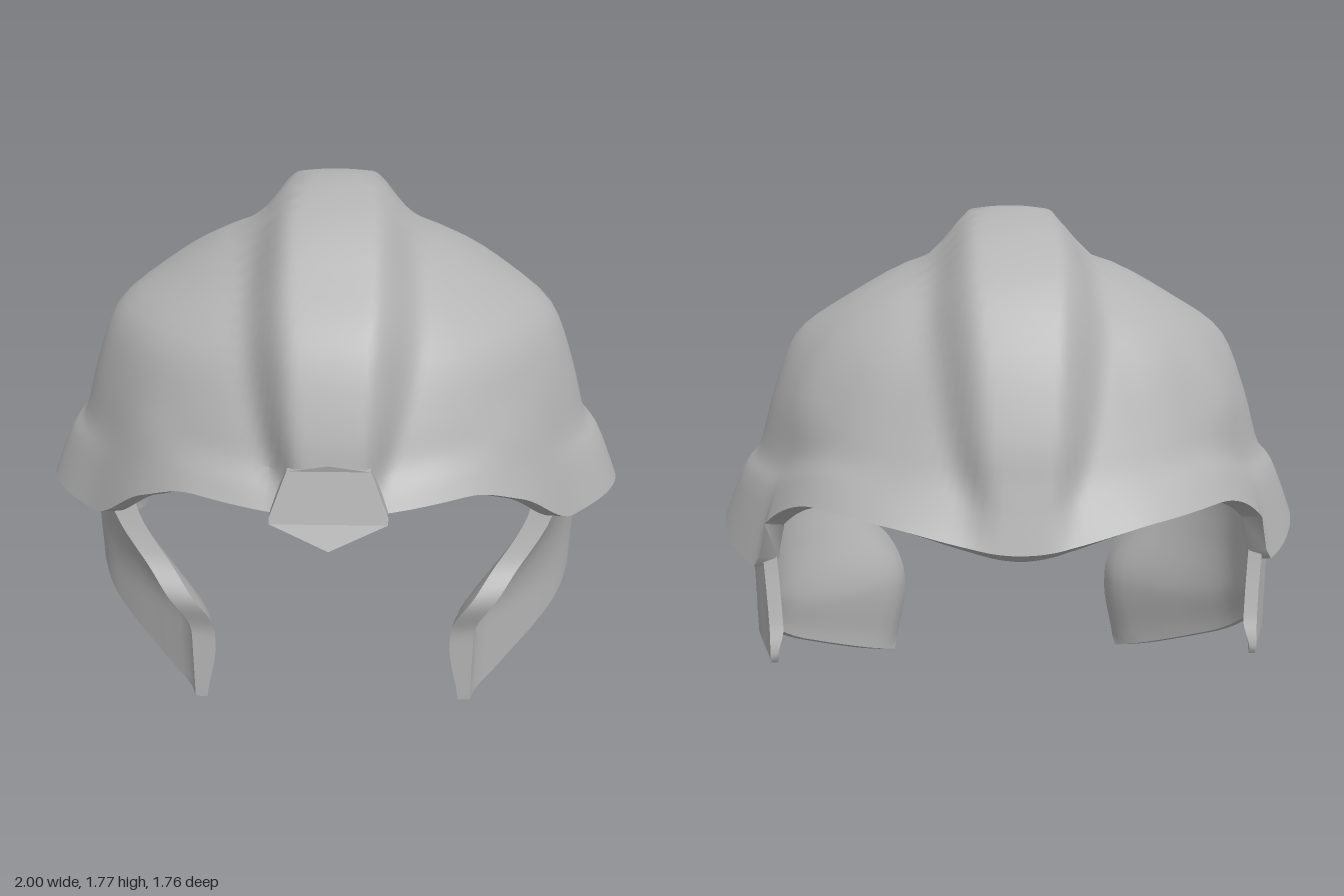
import * as THREE from 'three';
import { toCreasedNormals } from 'three/addons/utils/BufferGeometryUtils.js';

const smooth = THREE.MathUtils.smoothstep;
const lerp = THREE.MathUtils.lerp;

// Smooth curve through keys that never overshoots them.
function curve(xs, ys, x) {
  const n = xs.length;
  let i = 0;
  while (i < n - 2 && x > xs[i + 1]) i++;
  const sec = (k) => (ys[k + 1] - ys[k]) / (xs[k + 1] - xs[k]);
  const slope = (k) => {
    if (k === 0 || k === n - 1) return 0;
    const a = sec(k - 1), b = sec(k);
    return a * b > 0 ? (2 * a * b) / (a + b) : 0;
  };
  const h = xs[i + 1] - xs[i];
  const t = THREE.MathUtils.clamp((x - xs[i]) / h, 0, 1);
  const t2 = t * t, t3 = t2 * t;
  return (2 * t3 - 3 * t2 + 1) * ys[i] + (t3 - 2 * t2 + t) * h * slope(i)
    + (3 * t2 - 2 * t3) * ys[i + 1] + (t3 - t2) * h * slope(i + 1);
}

// Sheet of quads over fn(i, j) -> [x, y, z].
function sheet(nu, nv, fn, crease) {
  const pos = [], index = [];
  for (let i = 0; i <= nu; i++) {
    for (let j = 0; j <= nv; j++) {
      pos.push(...fn(i, j));
      if (i === nu || j === nv) continue;
      const a = i * (nv + 1) + j, b = a + nv + 1;
      index.push(a, a + 1, b, b, a + 1, b + 1);
    }
  }
  const g = new THREE.BufferGeometry();
  g.setAttribute('position', new THREE.Float32BufferAttribute(pos, 3));
  g.setIndex(index);
  return toCreasedNormals(g, crease);
}

// Dome meridians from crown to rim: azimuth from the front in degrees, radii and heights.
const APEX = 1.66;
const AZIMUTH = [0, 30, 45, 65, 90, 115, 118, 137, 153, 180];
const RADII = [
  [0.28, 0.45, 0.58, 0.67, 0.72, 0.77, 0.80],
  [0.28, 0.47, 0.62, 0.70, 0.74, 0.78, 0.81],
  [0.28, 0.50, 0.66, 0.72, 0.76, 0.79, 0.825],
  [0.28, 0.53, 0.69, 0.76, 0.80, 0.83, 0.877],
  [0.28, 0.55, 0.73, 0.81, 0.87, 0.92, 1.00],
  [0.28, 0.55, 0.70, 0.79, 0.83, 0.87, 0.926],
  [0.28, 0.55, 0.70, 0.79, 0.82, 0.86, 0.905],
  [0.28, 0.52, 0.67, 0.76, 0.80, 0.84, 0.885],
  [0.28, 0.50, 0.64, 0.74, 0.79, 0.83, 0.885],
  [0.28, 0.48, 0.62, 0.72, 0.77, 0.82, 0.87],
];
const HEIGHTS = [
  [1.62, 1.50, 1.38, 1.20, 1.08, 1.02, 0.98],
  [1.62, 1.51, 1.37, 1.21, 1.11, 1.05, 1.00],
  [1.62, 1.50, 1.35, 1.21, 1.11, 1.02, 0.93],
  [1.62, 1.49, 1.36, 1.18, 1.02, 0.93, 0.76],
  [1.62, 1.49, 1.36, 1.17, 0.98, 0.92, 0.735],
  [1.62, 1.50, 1.36, 1.18, 1.00, 0.92, 0.66],
  [1.62, 1.50, 1.36, 1.18, 1.02, 0.94, 0.82],
  [1.62, 1.52, 1.37, 1.18, 1.08, 1.02, 0.94],
  [1.62, 1.52, 1.36, 1.16, 1.06, 1.00, 0.93],
  [1.62, 1.52, 1.36, 1.16, 1.04, 0.96, 0.865],
];
const ROWS = [-1, 0, 1, 2, 3, 4, 5, 6, 7];
const CREST = [0.125, 0.125, 0.125, 0.125, 0.125, 0.115, 0.09, 0.05, 0.015];

function makeShell() {
  const segs = 180, rows = 28;
  const columns = [];
  for (let i = 0; i <= segs; i++) {
    const angle = (i / segs) * 360;
    const az = Math.min(angle, 360 - angle);
    const across = (table) => table[0].map((_, k) => curve(AZIMUTH, table.map((m) => m[k]), az));
    const r = across(RADII), y = across(HEIGHTS);
    const a = THREE.MathUtils.degToRad(angle);
    columns.push({ sin: Math.sin(a), cos: Math.cos(a), r: [-r[0], 0, ...r], y: [y[0], APEX, ...y] });
  }
  // Outer surface: dome plus the fore-and-aft crest.
  const outer = (i, j) => {
    const c = columns[i], s = (j / rows) * 7;
    const r = curve(ROWS, c.r, s);
    const x = r * c.sin, y = curve(ROWS, c.y, s), z = r * c.cos;
    const w = 1 - 0.4 * smooth(s, 2, 6), ax = Math.abs(x);
    const amount = curve(ROWS, CREST, s) * (1 - smooth(ax, 0.12 * w, 0.28 * w))
      * (1 - 0.3 * smooth(-z, 0.3, 0.8));
    const up = Math.max(y - 0.95, 0), len = Math.hypot(up, z) || 1;
    return [x, y + (amount * up) / len, z + (amount * z) / len];
  };
  // The columns run down the outside, round the rim and back up the inside.
  return sheet(segs, rows * 2 + 1, (i, j) => {
    if (j <= rows) return outer(i, j);
    const [x, y, z] = outer(i, rows * 2 + 1 - j);
    return [x * 0.93, y - 0.04 + 0.03 * Math.abs(columns[i].sin), z * 0.93];
  }, 0.7);
}

// Plate at the brow with a pointed lower edge, leaning forward at the bottom.
function makeBrow() {
  const shape = new THREE.Shape([
    [-0.12, 1.13], [-0.17, 1.0], [-0.17, 0.98], [0, 0.91], [0.17, 0.98], [0.17, 1.0], [0.12, 1.13], [0, 1.15],
  ].map(([x, y]) => new THREE.Vector2(x, y)));
  const g = new THREE.ExtrudeGeometry(shape, { depth: 0.08, bevelEnabled: false });
  const p = g.attributes.position;
  for (let i = 0; i < p.count; i++) {
    const front = p.getZ(i) > 0.04;
    p.setZ(i, p.getZ(i) + 0.733 + (1.13 - p.getY(i)) * 0.28 - Math.abs(p.getX(i)) * 0.08);
    if (!front) p.setY(i, p.getY(i) - 0.01);
  }
  g.computeVertexNormals();
  return g;
}

// Cheek guard outline: front and back edges run from top to bottom.
const EDGE = [0, 0.14, 0.3, 0.47, 0.66, 0.96, 1];
const FRONT_Z = [0.33, 0.35, 0.39, 0.46, 0.42, 0.42, 0.385];
const FRONT_Y = [0.86, 0.74, 0.59, 0.46, 0.30, 0.04, 0.01];
const BACK_Z = [-0.37, -0.375, -0.385, -0.40, -0.42, -0.45, -0.435];
const BACK_Y = [0.80, 0.73, 0.65, 0.57, 0.48, 0.37, 0.345];

function guardPoint(u, v, inside) {
  const z = lerp(curve(EDGE, FRONT_Z, v), curve(EDGE, BACK_Z, v), u);
  const lift = curve([0, 0.36, 0.66, 0.78, 1], [0, 0.06, 0.14, 0.115, 0], u);
  const y = lerp(curve(EDGE, FRONT_Y, v), curve(EDGE, BACK_Y, v), u) + lift * v * v;
  const f = curve([-0.45, -0.25, -0.1, 0, 0.12, 0.25, 0.38, 0.46],
    [0.80, 0.87, 0.885, 0.85, 0.75, 0.61, 0.49, 0.48], z);
  const spread = 0.6 * smooth(y, 0.3, 0.8) * smooth(z, -0.2, 0.1);
  const x = f + (0.89 - f) * spread;
  return [x - (inside ? lerp(0.08, 0.045, Math.min(u * 2, 1)) * lerp(1, 0.5, smooth(v, 0.7, 1)) : 0), y, z];
}

function makeGuard() {
  const nu = 24, nv = 28, loop = nu * 2 + 2;
  // Outer face, back edge, inner face and front edge in one loop.
  const wrap = sheet(loop, nv, (i, j) => {
    const k = i % loop, inside = k > nu;
    return guardPoint((inside ? nu * 2 + 1 - k : k) / nu, j / nv, inside);
  }, 0.7);
  const ends = [0, 1].map((v) => sheet(nu, 1, (i, j) => guardPoint(i / nu, v, v ? j === 1 : j === 0), 0.7));
  return [wrap, ...ends];
}

export function createModel() {
  const helmet = new THREE.Group();
  helmet.name = 'helmet';
  const metal = new THREE.MeshStandardMaterial({ color: 0xb4b4b4, side: THREE.DoubleSide });
  metal.name = 'grey metal';
  const add = (parent, name, geometry) => {
    const mesh = new THREE.Mesh(geometry, metal);
    mesh.name = name;
    parent.add(mesh);
  };

  add(helmet, 'shell', makeShell());
  add(helmet, 'browPlate', makeBrow());

  // Mirrored cheek guards, with the winding reversed on the right.
  const parts = ['plate', 'topEdge', 'bottomEdge'];
  const left = makeGuard();
  for (const side of [1, -1]) {
    const guard = new THREE.Group();
    guard.name = side > 0 ? 'leftCheekGuard' : 'rightCheekGuard';
    left.forEach((g, i) => add(guard, parts[i], g));
    guard.scale.x = side;
    helmet.add(guard);
  }
  return helmet;
}
